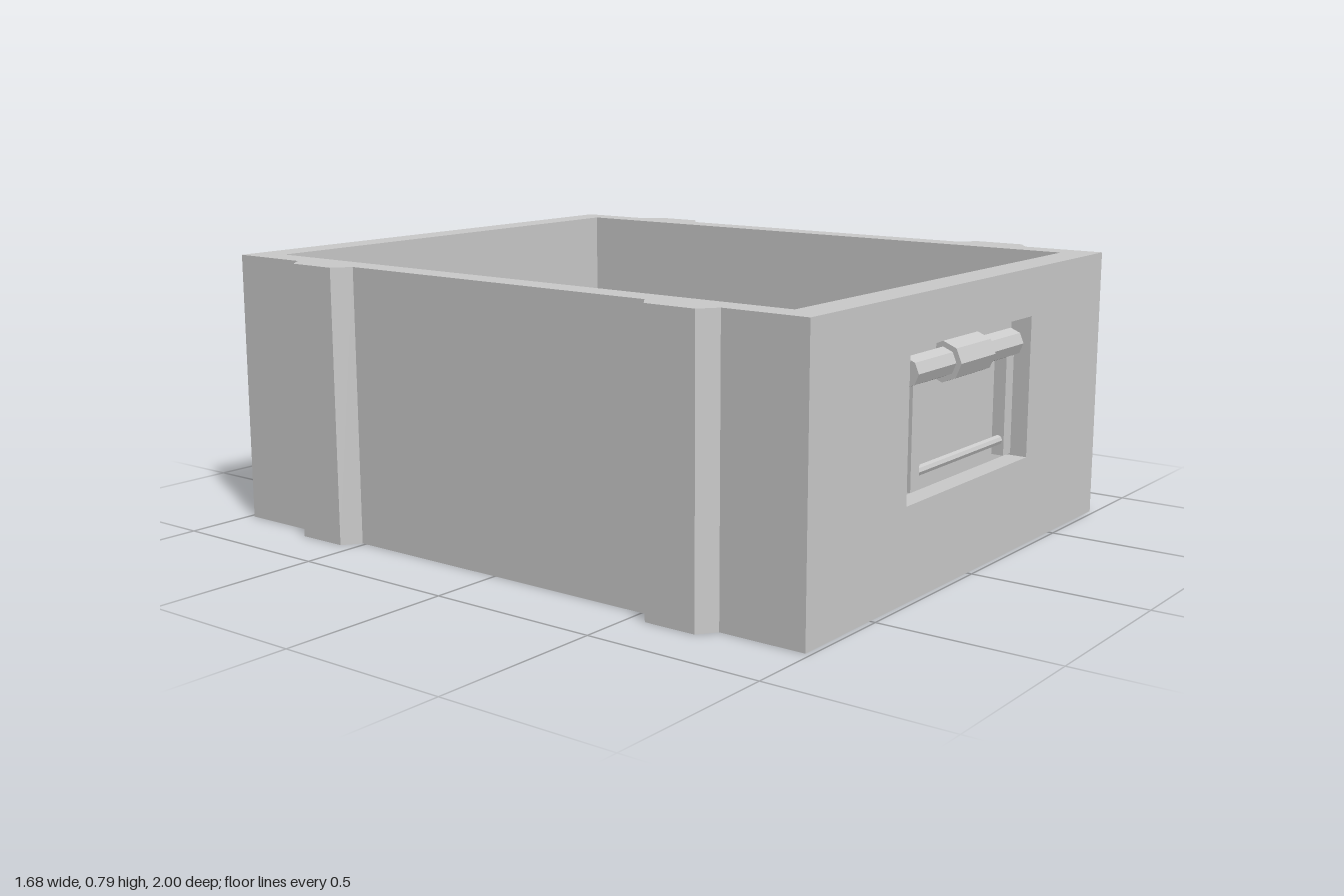
import * as THREE from 'three';

const mat = new THREE.MeshStandardMaterial({ color: 0xcccccc, flatShading: true, side: THREE.DoubleSide });
const W = 0.79, D = 0.985, H = 0.79;      // half width, half depth, height
const CAV_X = 0.71, CAV_Z = 0.89, FLOOR = 0.1;
const RECESS_Z = 0.925;                   // back plane of the handle recess

const rect = (x0, y0, x1, y1) => [[x0, y0], [x1, y0], [x1, y1], [x0, y1]]; // counter-clockwise
const vecs = (pts) => pts.map(([x, y]) => new THREE.Vector2(x, y));

// Flat panel with an optional hole, facing +z
function panel(outline, hole) {
  const shape = new THREE.Shape(vecs(outline));
  if (hole) shape.holes.push(new THREE.Path(vecs(hole)));
  return new THREE.ShapeGeometry(shape);
}

// Wall swept along +z from a path; a counter-clockwise path faces outward
function wall(pts, depth, closed) {
  const pos = [];
  const n = closed ? pts.length : pts.length - 1;
  for (let i = 0; i < n; i++) {
    const [ax, ay] = pts[i], [bx, by] = pts[(i + 1) % pts.length];
    pos.push(ax, ay, 0, bx, by, 0, bx, by, depth, ax, ay, 0, bx, by, depth, ax, ay, depth);
  }
  const g = new THREE.BufferGeometry();
  g.setAttribute('position', new THREE.Float32BufferAttribute(pos, 3));
  g.computeVertexNormals();
  return g;
}

function add(parent, name, geometry, x = 0, y = 0, z = 0) {
  const mesh = new THREE.Mesh(geometry, mat);
  mesh.name = name;
  mesh.position.set(x, y, z);
  parent.add(mesh);
  return mesh;
}

// Eight-sided bar lying along x
const bar = (r, length) => new THREE.CylinderGeometry(r, r, length, 8).rotateZ(Math.PI / 2);

// End wall with recess and handle, built facing +z
function createEnd(name) {
  const end = new THREE.Group();
  end.name = name;
  const opening = rect(-0.335, 0.255, 0.335, 0.655);
  add(end, 'endFace', panel(rect(-W, 0, W, H), opening), 0, 0, D);
  add(end, 'recessSides', wall([...opening].reverse(), D - RECESS_Z, true), 0, 0, RECESS_Z);
  add(end, 'recessBack', panel(opening), 0, 0, RECESS_Z);

  const handle = new THREE.Group();
  handle.name = 'handle';
  end.add(handle);
  add(handle, 'handleGrip', bar(0.04, 0.58), 0, 0.585, 0.945);
  add(handle, 'gripSleeve', bar(0.055, 0.19), 0, 0.585, 0.945);
  add(handle, 'hingeRod', bar(0.014, 0.47), 0, 0.318, 0.945);
  for (const s of [-1, 1]) {
    add(handle, 'handleArm', new THREE.BoxGeometry(0.043, 0.3, 0.036), s * 0.257, 0.425, 0.945);
  }
  return end;
}

export function createModel() {
  const model = new THREE.Group();
  model.name = 'crate';

  // Side profile in plan, with two tapered ribs
  const side = [[W, -D]];
  for (const c of [-0.625, 0.625]) {
    side.push([W, c - 0.113], [0.84, c - 0.076], [0.84, c + 0.076], [W, c + 0.113]);
  }
  side.push([W, D]);
  const otherSide = side.map(([x, y]) => [-x, -y]);
  const outline = [...side, ...otherSide];
  const cavity = rect(-CAV_X, -CAV_Z, CAV_X, CAV_Z);
  const up = -Math.PI / 2;

  add(model, 'leftSide', wall(side, H).rotateX(up));
  add(model, 'rightSide', wall(otherSide, H).rotateX(up));
  add(model, 'rim', panel(outline, cavity).rotateX(up), 0, H, 0);
  add(model, 'underside', panel(outline).rotateX(-up));
  add(model, 'innerWalls', wall([...cavity].reverse(), H - FLOOR, true).rotateX(up), 0, FLOOR, 0);
  add(model, 'innerFloor', panel(cavity).rotateX(up), 0, FLOOR, 0);

  const back = createEnd('backEnd');
  back.rotation.y = Math.PI;
  model.add(createEnd('frontEnd'), back);
  return model;
}
